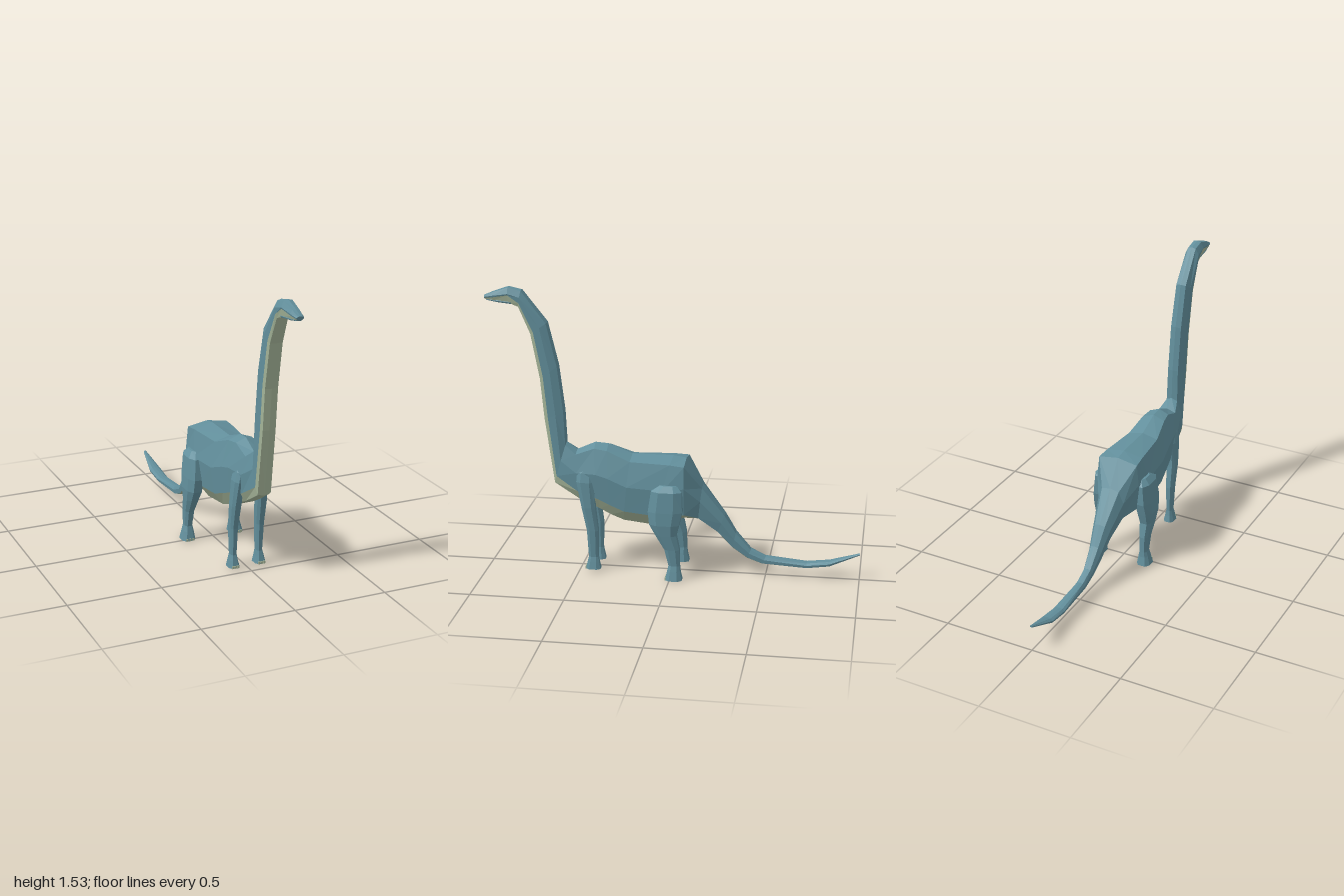
import * as THREE from 'three';

const skin = new THREE.MeshStandardMaterial({ color: 0x628f9c, name: 'blue skin' });
const belly = new THREE.MeshStandardMaterial({ color: 0xa6b69a, name: 'pale belly' });

// Joins rings of points into faceted skin with closed ends; paleCols marks belly-coloured columns.
function loft(name, rings, paleCols = []) {
  const n = rings[0].length;
  const lists = [[], []];
  const tri = (m, ...p) => p.forEach((v) => lists[m].push(...v));
  for (let i = 0; i < rings.length - 1; i++) {
    const a = rings[i], b = rings[i + 1];
    for (let k = 0; k < n; k++) {
      const j = (k + 1) % n, m = paleCols.includes(k) ? 1 : 0;
      tri(m, a[k], a[j], b[k]);
      tri(m, a[j], b[j], b[k]);
    }
  }
  const cap = (ring, flip) => {
    const c = [0, 1, 2].map((d) => ring.reduce((s, p) => s + p[d], 0) / n);
    for (let k = 0; k < n; k++) {
      const j = (k + 1) % n;
      if (flip) tri(0, c, ring[j], ring[k]);
      else tri(0, c, ring[k], ring[j]);
    }
  };
  cap(rings[0], true);
  cap(rings[rings.length - 1], false);
  const geo = new THREE.BufferGeometry();
  geo.setAttribute('position', new THREE.Float32BufferAttribute([...lists[0], ...lists[1]], 3));
  geo.addGroup(0, lists[0].length / 3, 0);
  geo.addGroup(lists[0].length / 3, lists[1].length / 3, 1);
  geo.computeVertexNormals(); // unshared corners give flat facets
  const mesh = new THREE.Mesh(geo, [skin, belly]);
  mesh.name = name;
  return mesh;
}

// Body section from its back point (tz, ty) to its belly point (bz, by), with half-widths.
function section([tz, ty, bz, by, wTop, wMid, wLow, line = 0.8]) {
  const half = [[0.06, wTop], [0.42, wMid], [line, wLow + (wMid - wLow) * 0.75], [0.97, wLow]];
  const at = (x, t) => [x, ty + (by - ty) * t, tz + (bz - tz) * t];
  return [
    at(0, 0), ...half.map(([t, w]) => at(w, t)),
    at(0, 1), ...half.reverse().map(([t, w]) => at(-w, t)),
  ];
}

// Leg section: eight-sided ring at height y.
function legRing([y, zf, zb, xi, xo], side) {
  const cx = (xi + xo) / 2, cz = (zf + zb) / 2, rx = (xo - xi) / 2, rz = (zf - zb) / 2;
  const ring = [[1, -0.5], [1, 0.5], [0.55, 1], [-0.55, 1], [-1, 0.5], [-1, -0.5], [-0.55, -1], [0.55, -1]]
    .map(([u, v]) => [side * (cx + u * rx), y, cz + v * rz]);
  return side < 0 ? ring.reverse() : ring;
}

export function createModel() {
  const model = new THREE.Group();
  model.name = 'longNeckedDinosaur';

  const headNeck = [
    [1.0, 1.485, 0.995, 1.466, 0.012, 0.02, 0.014, 0.7],
    [0.95, 1.507, 0.95, 1.458, 0.018, 0.028, 0.02, 0.6],
    [0.87, 1.535, 0.87, 1.45, 0.022, 0.037, 0.026, 0.5],
    [0.80, 1.52, 0.815, 1.43, 0.022, 0.039, 0.03, 0.75],
    [0.665, 1.35, 0.755, 1.29, 0.028, 0.042, 0.034],
    [0.61, 1.12, 0.71, 1.05, 0.03, 0.043, 0.035],
    [0.58, 0.87, 0.69, 0.83, 0.03, 0.043, 0.035],
    [0.575, 0.70, 0.64, 0.47, 0.032, 0.048, 0.036],
  ];
  const torso = [
    [0.52, 0.66, 0.51, 0.39, 0.05, 0.072, 0.042],
    [0.42, 0.705, 0.39, 0.335, 0.055, 0.092, 0.048],
    [0.35, 0.70, 0.33, 0.305, 0.065, 0.102, 0.052],
    [0.22, 0.65, 0.26, 0.28, 0.085, 0.115, 0.056],
    [0.0, 0.65, 0.10, 0.265, 0.105, 0.128, 0.065],
    [-0.07, 0.64, -0.07, 0.315, 0.112, 0.124, 0.065, 0.88],
  ];
  const tail = [
    [-0.16, 0.50, -0.14, 0.31, 0.05, 0.075, 0.04, 0.92],
    [-0.28, 0.34, -0.24, 0.235, 0.03, 0.05, 0.026, 0.9],
    [-0.34, 0.24, -0.32, 0.15, 0.022, 0.036, 0.02, 0.9],
    [-0.42, 0.145, -0.40, 0.095, 0.018, 0.027, 0.018, 0.9],
    [-0.50, 0.107, -0.48, 0.067, 0.017, 0.026, 0.018, 0.9],
    [-0.72, 0.085, -0.72, 0.057, 0.019, 0.031, 0.02, 0.9],
    [-0.84, 0.10, -0.84, 0.075, 0.018, 0.033, 0.02, 0.9],
    [-1.0, 0.15, -1.0, 0.14, 0.004, 0.008, 0.004, 0.9],
  ];
  model.add(loft('bodyNeckAndTail', [...headNeck, ...torso, ...tail].map(section), [3, 4, 5, 6]));

  // Lower jaw
  const jaw = [
    [0.99, 1.468, 0.985, 1.459, 0.014, 0.017, 0.01],
    [0.93, 1.466, 0.93, 1.45, 0.021, 0.025, 0.016],
    [0.85, 1.46, 0.85, 1.443, 0.026, 0.03, 0.02],
  ];
  model.add(loft('lowerJaw', jaw.map(section)));

  // Legs, top to foot: height, front z, back z, inner x, outer x
  const frontLeg = [
    [0.575, 0.475, 0.43, 0.03, 0.07],
    [0.55, 0.51, 0.42, 0.03, 0.08],
    [0.50, 0.513, 0.418, 0.035, 0.092],
    [0.36, 0.485, 0.412, 0.045, 0.098],
    [0.23, 0.458, 0.396, 0.052, 0.095],
    [0.08, 0.45, 0.398, 0.057, 0.089],
    [0.05, 0.457, 0.394, 0.052, 0.096],
    [0.012, 0.466, 0.386, 0.044, 0.104],
  ];
  const hindLeg = [
    [0.52, 0.055, -0.035, 0.07, 0.135],
    [0.49, 0.10, -0.063, 0.07, 0.162],
    [0.38, 0.116, -0.066, 0.08, 0.172],
    [0.31, 0.108, -0.05, 0.09, 0.175],
    [0.25, 0.075, -0.035, 0.10, 0.17],
    [0.17, 0.028, -0.052, 0.11, 0.162],
    [0.08, 0.006, -0.054, 0.116, 0.158],
    [0.05, 0.013, -0.056, 0.11, 0.166],
    [0.0, 0.024, -0.066, 0.102, 0.178],
  ];
  const nailShape = new THREE.BoxGeometry(0.011, 0.014, 0.006);
  for (const [name, rows] of [['FrontLeg', frontLeg], ['HindLeg', hindLeg]]) {
    for (const side of [1, -1]) {
      const leg = new THREE.Group();
      leg.name = (side > 0 ? 'left' : 'right') + name;
      leg.add(loft('limb', rows.map((r) => legRing(r, side))));
      // Toenails along the front of the foot
      const [y, zf, , xi, xo] = rows[rows.length - 1];
      for (const u of [-1, 0, 1]) {
        const nail = new THREE.Mesh(nailShape, belly);
        nail.name = 'toenail';
        nail.position.set(side * ((xi + xo) / 2 + u * (xo - xi) * 0.23), y + 0.007, zf - 0.001);
        leg.add(nail);
      }
      model.add(leg);
    }
  }
  return model;
}
